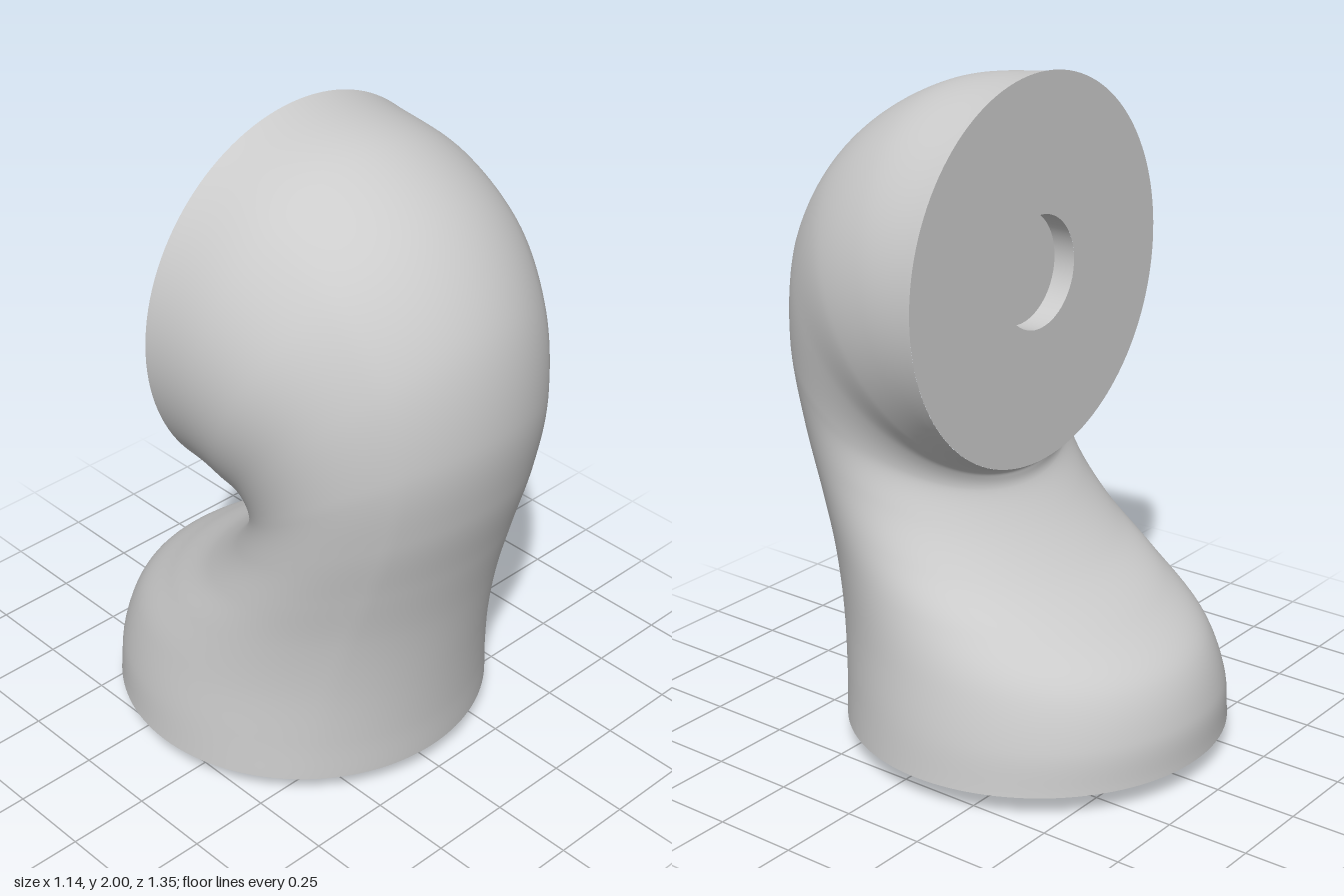
import * as THREE from 'three';

const R = 0.572, BASE_Y = 0.07, AXIS_Z = -0.1, HEAD_Y = 1.43;
const PIN_R = 0.167, PIN_H = 0.07;

// Each section: front z, front y, back z, back y, half width
const SECTIONS = [
  [0.472, 0.07, -0.672, 0.07, 0.572],
  [0.478, 0.2, -0.665, 0.2, 0.557],
  [0.498, 0.39, -0.605, 0.34, 0.527],
  [0.533, 0.6, -0.45, 0.455, 0.495],
  [0.583, 0.8, -0.28, 0.56, 0.47],
  [0.643, 1.02, -0.15, 0.68, 0.456],
  [0.675, 1.27, -0.07, 0.79, 0.463],
  [0.62, 1.56, -0.066, 0.828, 0.497],
  [0.45, 1.8, -0.073, 0.845, 0.545],
  [0.2, 1.95, -0.085, 0.853, 0.566],
  [AXIS_Z, 2.0, AXIS_Z, 0.858, 0.572],
];

// Loft of oval sections that swing from the flat base to the upright face
function bodyGeometry(rows = 100, cols = 128) {
  const front = new THREE.CatmullRomCurve3(SECTIONS.map(s => new THREE.Vector3(s[4], s[1], s[0])));
  const back = new THREE.CatmullRomCurve3(SECTIONS.map(s => new THREE.Vector3(s[4], s[3], s[2])));
  const positions = [], index = [], ridge = 0.64;
  for (let i = 0; i <= rows; i++) {
    const t = i / rows;
    const f = front.getPoint(t), b = back.getPoint(t);
    const w = (f.x + b.x) / 2;
    for (let j = 0; j < cols; j++) {
      const a = (j / cols) * Math.PI * 2;
      const c = Math.cos(a), r = Math.abs(c);
      let s = Math.sin(a);
      // soft ridge along both edges of the front
      if (s > 0 && r > ridge) s -= 0.5 * (r - ridge) * (1 - r) * Math.sin(Math.PI * t);
      const k = (1 + s) / 2;
      positions.push(w * c, b.y + (f.y - b.y) * k, b.z + (f.z - b.z) * k);
      if (i < rows) {
        const n = (j + 1) % cols;
        const p = i * cols + j, q = i * cols + n;
        index.push(p, p + cols, q, q, p + cols, q + cols);
      }
    }
  }
  const g = new THREE.BufferGeometry();
  g.setAttribute('position', new THREE.Float32BufferAttribute(positions, 3));
  g.setIndex(index);
  g.computeVertexNormals();
  return g;
}

export function createModel() {
  const model = new THREE.Group();
  model.name = 'elbowConnector';
  const grey = new THREE.MeshStandardMaterial({ color: 0xcccccc });
  const inside = new THREE.MeshStandardMaterial({ color: 0xcccccc, side: THREE.BackSide });

  const add = (name, geometry, y, z, material = grey, parent = model) => {
    const mesh = new THREE.Mesh(geometry, material);
    mesh.name = name;
    mesh.position.set(0, y, z);
    parent.add(mesh);
    return mesh;
  };

  add('body', bodyGeometry(), 0, 0);

  // Flat underside with its locating peg
  add('base', new THREE.CircleGeometry(R, 128).rotateX(Math.PI / 2), BASE_Y, AXIS_Z);
  add('peg', new THREE.CylinderGeometry(PIN_R, PIN_R, PIN_H, 64), PIN_H / 2, AXIS_Z);

  // Upright rear face with a matching round socket
  const face = new THREE.Group();
  face.name = 'rearFace';
  face.position.set(0, HEAD_Y, AXIS_Z);
  model.add(face);
  add('faceRing', new THREE.RingGeometry(PIN_R, R, 128).rotateY(Math.PI), 0, 0, grey, face);
  add('socketWall', new THREE.CylinderGeometry(PIN_R, PIN_R, PIN_H, 64, 1, true).rotateX(Math.PI / 2),
    0, PIN_H / 2, inside, face);
  add('socketFloor', new THREE.CircleGeometry(PIN_R, 64).rotateY(Math.PI), 0, PIN_H, grey, face);

  return model;
}
